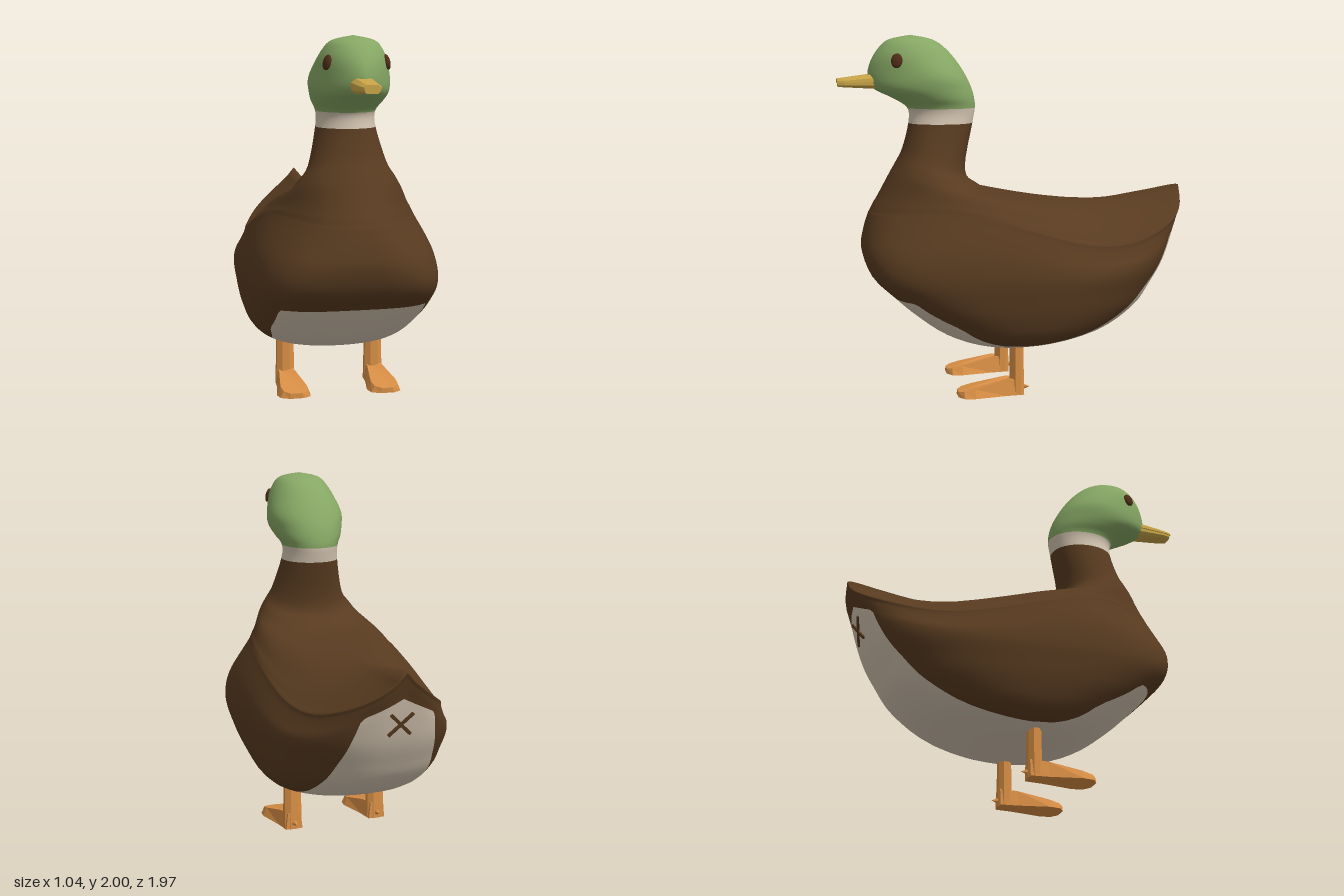
import * as THREE from 'three';

const mat = (name, color) => {
  const m = new THREE.MeshStandardMaterial({ color });
  m.name = name;
  return m;
};

// Rings of the skin from belly to crown: [front z, front y, back z, back y, half width]
const RINGS = [
  [0.05, 0.24, 0.05, 0.24, 0],
  [0.25, 0.265, -0.25, 0.27, 0.29],
  [0.42, 0.33, -0.53, 0.345, 0.425],
  [0.58, 0.45, -0.71, 0.47, 0.483],
  [0.70, 0.56, -0.80, 0.60, 0.508],
  [0.81, 0.67, -0.87, 0.73, 0.52],
  [0.855, 0.80, -0.92, 0.88, 0.51],
  [0.845, 0.91, -0.95, 1.00, 0.48],
  [0.82, 1.00, -0.975, 1.10, 0.445],
  [0.81, 1.02, -0.968, 1.135, 0.435],
  [0.79, 1.06, -0.75, 1.10, 0.415],
  [0.76, 1.11, -0.45, 1.065, 0.38],
  [0.70, 1.22, 0.05, 1.105, 0.31],
  [0.66, 1.29, 0.20, 1.165, 0.265],
  [0.62, 1.37, 0.27, 1.25, 0.213],
  [0.585, 1.51, 0.225, 1.51, 0.161], // collar starts
  [0.59, 1.595, 0.21, 1.595, 0.16], // head starts
  [0.67, 1.65, 0.215, 1.65, 0.19],
  [0.78, 1.705, 0.23, 1.705, 0.21],
  [0.81, 1.77, 0.26, 1.77, 0.216],
  [0.795, 1.85, 0.31, 1.85, 0.193],
  [0.75, 1.925, 0.375, 1.925, 0.158],
  [0.69, 1.975, 0.45, 1.975, 0.11],
  [0.57, 2.0, 0.57, 2.0, 0],
];
const COLLAR = 15, HEAD = 16, STEPS = 4, SEGS = 72;
const { smoothstep, clamp } = THREE.MathUtils;

// Smooth interpolation between rings
function ringAt(i, t) {
  const r = (k) => RINGS[clamp(k, 0, RINGS.length - 1)];
  return RINGS[0].map((_, k) => {
    const [a, b, c, d] = [r(i - 1)[k], r(i)[k], r(i + 1)[k], r(i + 2)[k]];
    return b + 0.5 * t * (c - a + t * (2 * a - 5 * b + 4 * c - d + t * (3 * (b - c) + d - a)));
  });
}

// Tilted superellipse: boxy at the breast, pointed at the face, roof-like toward the tail
function ringPoint([fz, fy, bz, by, w], a) {
  const breast = Math.exp(-(((fy - 0.62) / 0.25) ** 2));
  const face = Math.exp(-(((fy - 1.78) / 0.1) ** 2));
  const cs = Math.cos(a), sn = Math.sin(a);
  const n = cs >= 0 ? 2 + 1.7 * breast - 0.3 * face : 2.1 + 0.4 * breast;
  const mid = fz + (bz - fz) * (0.5 - 0.05 * breast + 0.1 * face);
  const z = mid + ((cs >= 0 ? fz : bz) - mid) * Math.abs(cs) ** (2 / n);
  const across = Math.abs(sn) ** (2 / n);
  const k = fz - bz > 1e-4 ? (fz - z) / (fz - bz) : 0;
  const roof = smoothstep(by, 0.55, 1.15) * (1 - smoothstep(fy, 1.02, 1.22));
  const droop = 0.3 * roof * smoothstep(-z, -0.5, 0.7) * across ** (2 - 1.25 * roof);
  return [Math.max(w, 0) * Math.sign(sn) * across, fy + (by - fy) * k - droop, z];
}

// Positive inside the pale underside
function bellyMask({ x, y, z }) {
  const side = Math.abs(x);
  if (z > 0) return Math.min(Math.min(0.405, 0.35 + (y - 0.28) * 0.45) - side, 0.56 - y);
  return Math.min(0.35 - 0.15 * clamp((y - 0.3) / 0.6, 0, 1) - side, 0.98 - 0.5 * side - y);
}

// One continuous skin, cut into body, belly, collar and head
function buildSkin() {
  const pos = [], index = [], rows = (RINGS.length - 1) * STEPS;
  for (let i = 0; i <= rows; i++) {
    const ring = ringAt(Math.floor(i / STEPS), (i % STEPS) / STEPS);
    for (let j = 0; j < SEGS; j++) pos.push(...ringPoint(ring, (j / SEGS) * Math.PI * 2));
  }
  for (let i = 0; i < rows; i++) {
    for (let j = 0; j < SEGS; j++) {
      const a = i * SEGS + j, b = i * SEGS + ((j + 1) % SEGS);
      if (i > 0) index.push(a, b, b + SEGS);
      if (i < rows - 1) index.push(a, b + SEGS, a + SEGS);
    }
  }
  const skin = new THREE.BufferGeometry();
  skin.setAttribute('position', new THREE.Float32BufferAttribute(pos, 3));
  skin.setIndex(index);
  skin.computeVertexNormals();

  const parts = { body: [], belly: [], collar: [], head: [] };
  const vertex = (i) => ({
    p: new THREE.Vector3().fromBufferAttribute(skin.attributes.position, i),
    n: new THREE.Vector3().fromBufferAttribute(skin.attributes.normal, i),
  });
  const fan = (list, poly) => {
    for (let k = 1; k < poly.length - 1; k++) list.push(poly[0], poly[k], poly[k + 1]);
  };
  for (let f = 0; f < index.length; f += 3) {
    const tri = [0, 1, 2].map((k) => vertex(index[f + k]));
    const ring = Math.floor(Math.min(index[f], index[f + 1], index[f + 2]) / SEGS / STEPS);
    if (ring >= COLLAR) {
      fan(ring >= HEAD ? parts.head : parts.collar, tri);
      continue;
    }
    // Split the triangle along the edge of the belly colour
    const inside = [], outside = [];
    tri.forEach((v, k) => {
      const w = tri[(k + 1) % 3], dv = bellyMask(v.p), dw = bellyMask(w.p);
      (dv > 0 ? inside : outside).push(v);
      if (dv > 0 !== dw > 0) {
        const t = dv / (dv - dw);
        const cut = { p: v.p.clone().lerp(w.p, t), n: v.n.clone().lerp(w.n, t).normalize() };
        inside.push(cut);
        outside.push(cut);
      }
    });
    fan(parts.belly, inside);
    fan(parts.body, outside);
  }
  return Object.entries(parts).map(([name, list]) => {
    const g = new THREE.BufferGeometry();
    g.setAttribute('position', new THREE.Float32BufferAttribute(list.flatMap((v) => v.p.toArray()), 3));
    g.setAttribute('normal', new THREE.Float32BufferAttribute(list.flatMap((v) => v.n.toArray()), 3));
    return [name, g];
  });
}

// Extrude a mirrored outline (right half given) along z, then move each vertex by a rule
function shaped(half, depth, steps, rule) {
  const mirrored = half.map(([x, y]) => [-x, y]).reverse();
  const shape = new THREE.Shape([...half, ...mirrored].map(([x, y]) => new THREE.Vector2(x, y)));
  const g = new THREE.ExtrudeGeometry(shape, { depth, steps, bevelEnabled: false });
  const p = g.attributes.position, v = new THREE.Vector3();
  for (let i = 0; i < p.count; i++) {
    rule(v.fromBufferAttribute(p, i));
    p.setXYZ(i, v.x, v.y, v.z);
  }
  g.computeVertexNormals();
  return g;
}

export function createModel() {
  const model = new THREE.Group();
  model.name = 'duck';
  const brown = mat('brown feathers', 0x583b20);
  const pale = mat('pale feathers', 0xd3c4b0);
  const green = mat('green feathers', 0x86a764);
  const yellow = mat('yellow bill', 0xc9a548);
  const orange = mat('orange legs', 0xd98f45);
  const dark = mat('dark eye', 0x4f2d18);
  const add = (name, geometry, material, parent = model) => {
    const m = new THREE.Mesh(geometry, material);
    m.name = name;
    parent.add(m);
    return m;
  };

  const skinColors = { body: brown, belly: pale, collar: pale, head: green };
  buildSkin().forEach(([name, g]) => add(name, g, skinColors[name]));

  // Bill: two tapering halves with a blunt, rounded tip
  const taper = (v) => {
    const t = v.z / 0.24;
    v.x *= t > 0.95 ? 0.7 : 1.1 - 0.25 * t;
    v.y = v.y * (1 - 0.5 * t) + 1.745 - 0.008 * t;
    v.z += 0.74;
  };
  add('upperBill', shaped([[0.065, 0], [0.062, 0.022], [0.04, 0.047]], 0.24, 6, taper), yellow);
  add('lowerBill', shaped([[0.042, -0.042], [0.058, -0.022], [0.058, 0]], 0.235, 6, taper), yellow);

  // Crossed mark under the tail
  const mark = new THREE.Group();
  mark.name = 'tailMark';
  mark.position.set(0, 0.835, -0.911);
  mark.rotation.x = -0.31;
  model.add(mark);
  for (const s of [-1, 1]) {
    add('markStroke', new THREE.BoxGeometry(0.018, 0.18, 0.009), brown, mark).rotation.z = s * 0.78;
  }

  // Webbed foot: sloping wedge, widening to the toes
  const footOutline = [[0.05, 0.02], [0.06, -0.08], [0.095, -0.26], [0.085, -0.32], [0.04, -0.35]];
  const footRule = (v) => {
    const z = -v.y, top = v.z > 0.5;
    v.set(v.x * (top ? 0.78 : 1), top ? 0.095 - Math.max(z - 0.05, 0) * 0.22 : 0, z);
  };

  for (const s of [-1, 1]) {
    const side = s > 0 ? 'left' : 'right';
    const eye = add(side + 'Eye', new THREE.SphereGeometry(1, 20, 14), dark);
    eye.scale.set(0.017, 0.041, 0.032);
    eye.position.set(s * 0.16, 1.862, 0.66);
    eye.rotation.set(0, -s * 0.32, s * 0.25);

    const leg = new THREE.Group();
    leg.name = side + 'Leg';
    leg.position.x = s * 0.26;
    model.add(leg);
    // Shank: eight-sided, slightly wider at the ankle
    const shank = new THREE.CylinderGeometry(0.045, 0.052, 0.35, 8).rotateY(Math.PI / 8).scale(1.1, 1, 0.82).toNonIndexed();
    shank.computeVertexNormals();
    add('shank', shank, orange, leg).position.set(0, 0.175, 0.015);
    add('foot', shaped(footOutline, 1, 1, footRule), orange, leg);
    const toe = new THREE.ConeGeometry(0.025, 0.06, 6).rotateX(-Math.PI / 2);
    add('hindToe', toe, orange, leg).position.set(0, 0.035, -0.03);
  }
  return model;
}
